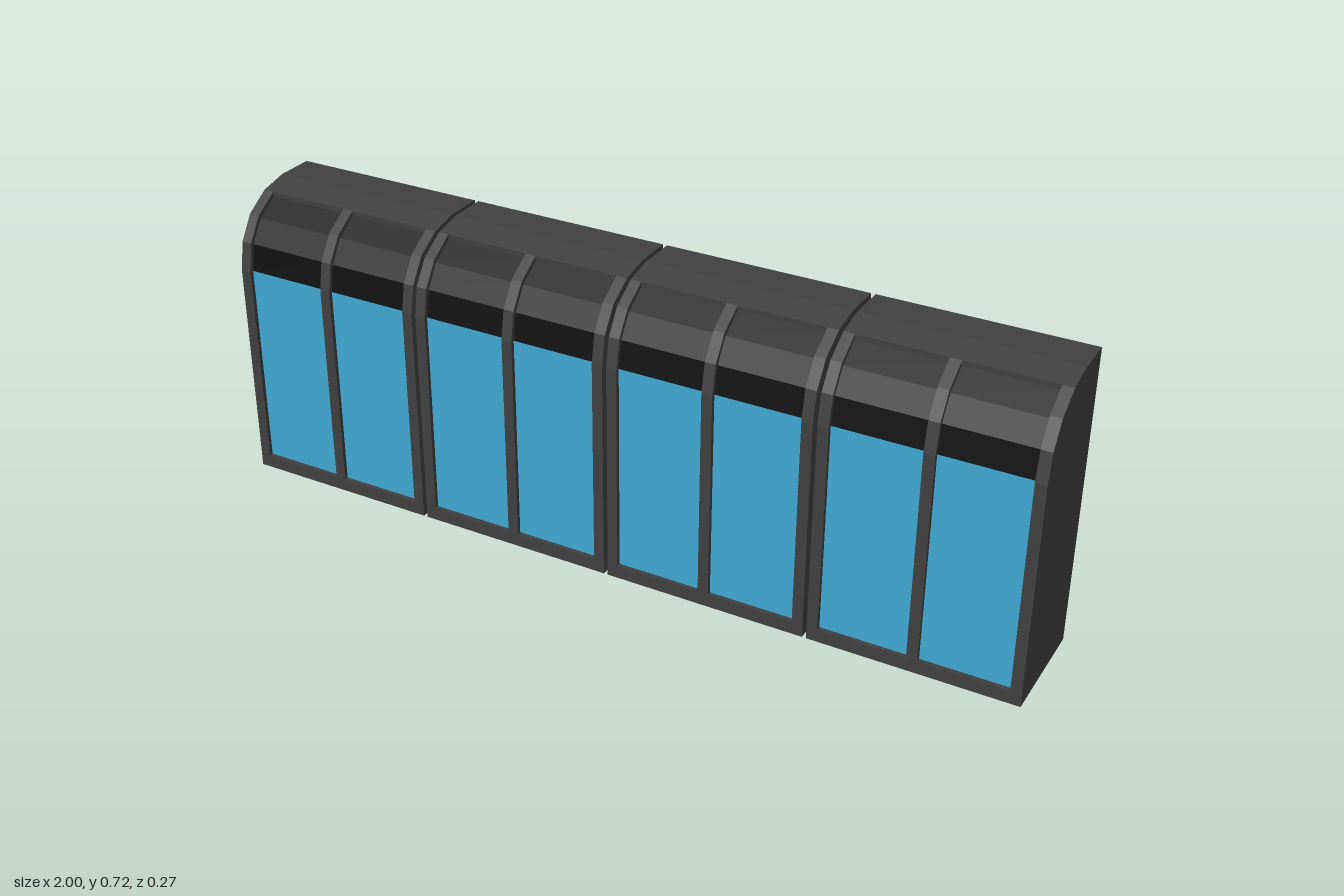
import * as THREE from 'three';

const WIDTH = 0.4925, PITCH = 0.5025, BAR = 0.026;
const PANE = (WIDTH - 3 * BAR) / 2;

const material = (color) => new THREE.MeshStandardMaterial({ color, flatShading: true });

// Extrudes a (z, y) side profile along x, centred on x.
function slab(name, profile, width, x, mat) {
  const shape = new THREE.Shape(profile.map(([z, y]) => new THREE.Vector2(z, y)));
  const geometry = new THREE.ExtrudeGeometry(shape, { depth: width, bevelEnabled: false });
  geometry.translate(0, 0, -width / 2).rotateY(-Math.PI / 2);
  const mesh = new THREE.Mesh(geometry, mat);
  mesh.name = name;
  mesh.position.x = x;
  return mesh;
}

// Faceted curve of the hood, from the front face up to the roof
const hood = [[0.137, 0.54], [0.124, 0.61], [0.087, 0.668], [0.027, 0.707]];
const recessedHood = [[0.127, 0.54], [0.115, 0.605], [0.081, 0.659], [0.027, 0.695]];
const innerHood = [[0.107, 0.54], [0.097, 0.595], [0.068, 0.64], [0.027, 0.67]];
const roof = [[-0.042, 0.722], [-0.137, 0.722], [-0.137, 0]];

const ribProfile = [[0.137, 0], ...hood, ...roof];
const coreProfile = [[0.137, 0], [0.137, 0.033], [0.107, 0.033], ...innerHood, [0.027, 0.707], ...roof];
const glassProfile = [[0.107, 0.033], [0.127, 0.033], [0.127, 0.54], [0.107, 0.54]];
const canopyProfile = [...recessedHood, ...[...innerHood].reverse()];

export function createModel() {
  const model = new THREE.Group();
  model.name = 'cabinetRow';
  const frame = material(0x404040);
  const glass = material(0x40aad4);
  const dark = material(0x0d0d0d);

  for (let i = 0; i < 4; i++) {
    const unit = new THREE.Group();
    unit.name = `cabinet${i + 1}`;
    unit.position.x = (i - 1.5) * PITCH;

    // Outer walls and centre mullion
    for (const side of [-1, 0, 1]) {
      unit.add(slab(side ? 'sideWall' : 'mullion', ribProfile, BAR, side * (WIDTH - BAR) / 2, frame));
    }
    // Two bays, each with a body, a glass pane and a curved dark canopy
    for (const side of [-1, 1]) {
      const x = side * (PANE + BAR) / 2;
      unit.add(slab('bayBody', coreProfile, PANE, x, frame));
      unit.add(slab('glassPane', glassProfile, PANE, x, glass));
      unit.add(slab('canopyPanel', canopyProfile, PANE, x, dark));
    }
    model.add(unit);
  }
  return model;
}
